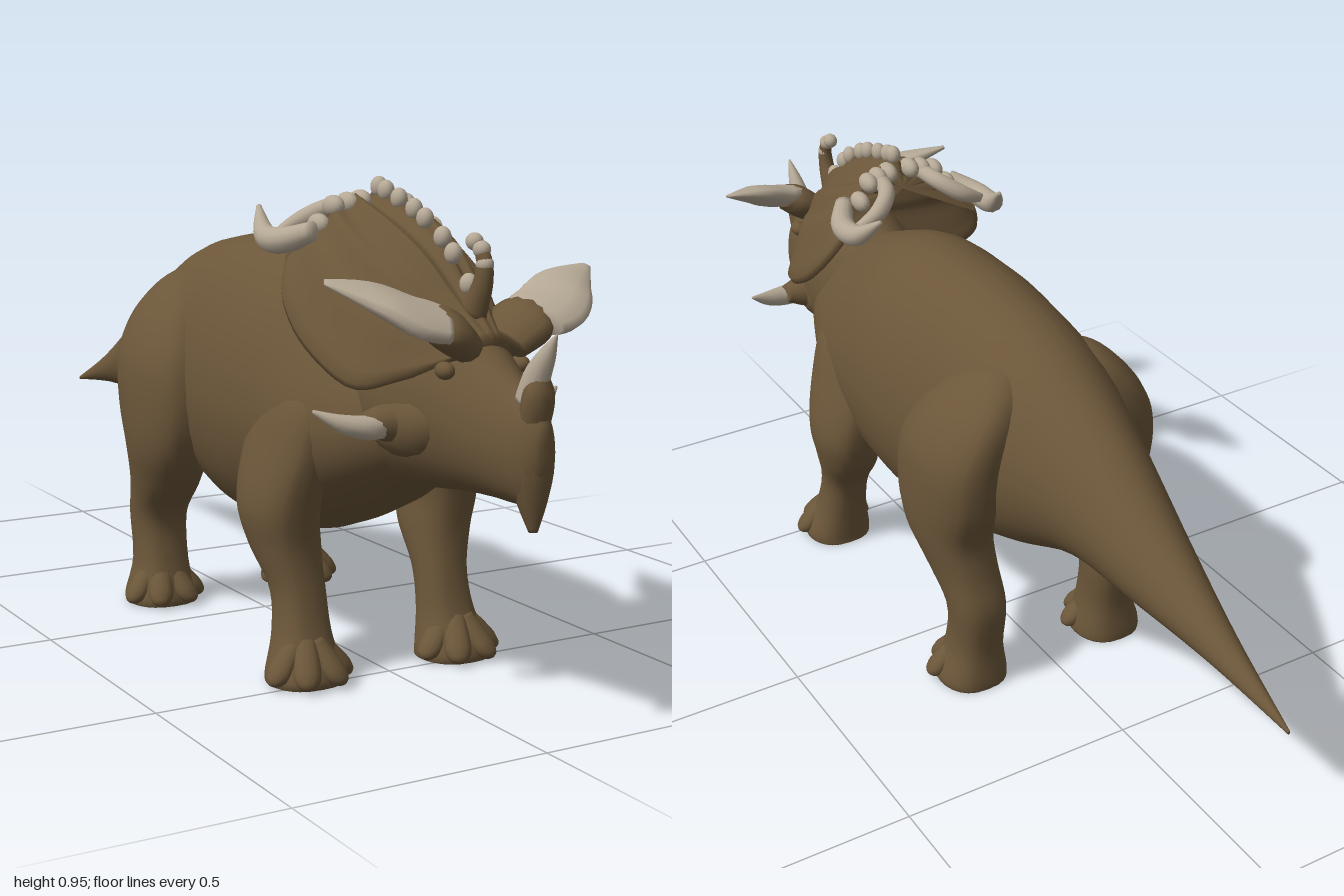
import * as THREE from 'three';

const V = (x, y, z) => new THREE.Vector3(x, y, z);

// Smoothly resample a table of rows to n + 1 rows
function resample(rows, n) {
  const last = rows.length - 1;
  const row = (i) => rows[Math.min(last, Math.max(0, i))];
  return Array.from({ length: n + 1 }, (_, k) => {
    const t = (k / n) * last, i = Math.min(last - 1, Math.floor(t)), f = t - i;
    return rows[0].map((_, c) => {
      const a = row(i - 1)[c], b = row(i)[c], d = row(i + 1)[c], e = row(i + 2)[c];
      return b + 0.5 * f * (d - a + f * (2 * a - 5 * b + 4 * d - e + f * (3 * (b - d) + e - a)));
    });
  });
}

// Skin closed rings of points and cap both ends
function loft(rings) {
  const n = rings[0].length, pos = [], idx = [];
  rings.forEach((r) => r.forEach((p) => pos.push(p.x, p.y, p.z)));
  for (let i = 0; i < rings.length - 1; i++) {
    for (let j = 0; j < n; j++) {
      const a = i * n + j, b = i * n + ((j + 1) % n);
      idx.push(a, b, a + n, b, b + n, a + n);
    }
  }
  [0, rings.length - 1].forEach((i, end) => {
    const c = rings[i].reduce((s, p) => s.add(p), V(0, 0, 0)).divideScalar(n);
    const k = pos.length / 3;
    pos.push(c.x, c.y, c.z);
    for (let j = 0; j < n; j++) {
      const a = i * n + j, b = i * n + ((j + 1) % n);
      if (end) idx.push(a, b, k); else idx.push(b, a, k);
    }
  });
  const g = new THREE.BufferGeometry();
  g.setAttribute('position', new THREE.Float32BufferAttribute(pos, 3));
  g.setIndex(idx);
  g.computeVertexNormals();
  return g;
}

const ring = (n, f) => Array.from({ length: n }, (_, j) => {
  const a = (j / n) * Math.PI * 2;
  return f(Math.cos(a), Math.sin(a));
});

// Trunk or head: rows of [z, bottom, top, half width, narrowing towards the top]
const trunk = (rows, n) => loft(resample(rows, n).map(([z, b, t, w, taper]) =>
  ring(32, (c, s) => V(w * c * (1 - taper * s), (b + t) / 2 + s * (t - b) / 2, z))));

// Leg: rows of [y, x, z, x radius, z radius], with slightly squared sides
const leg = (rows, side) => loft(resample(rows, 44).map(([y, x, z, rx, rz]) =>
  ring(24, (c, s) => V(side * x + Math.sign(s) * Math.abs(s) ** 0.75 * rx, y, z + c * rz))));

// Horn: rows of [x, y, z, radius]; ref is the direction stretched by wide
function horn(rows, ref, wide = 1) {
  const pts = resample(rows, 14);
  return loft(pts.map((p, i) => {
    const a = pts[Math.max(0, i - 1)], b = pts[Math.min(14, i + 1)];
    const T = V(b[0] - a[0], b[1] - a[1], b[2] - a[2]).normalize();
    const N = ref.clone().addScaledVector(T, -ref.dot(T)).normalize();
    const B = T.clone().cross(N);
    return ring(12, (c, s) => V(p[0], p[1], p[2])
      .addScaledVector(N, c * p[3] * wide).addScaledVector(B, s * p[3]));
  }));
}

// Frill: rows of [half width, middle y, middle z, edge y, edge z]
const frillRows = resample([
  [0.06, 0.70, 0.82, 0.67, 0.80], [0.125, 0.77, 0.74, 0.63, 0.72],
  [0.18, 0.84, 0.66, 0.61, 0.64], [0.202, 0.885, 0.57, 0.67, 0.51],
  [0.195, 0.91, 0.49, 0.745, 0.42], [0.165, 0.925, 0.43, 0.81, 0.38],
], 24);
function frillPoint(u, k) {
  const [w, ym, zm, ye, ze] = frillRows[k];
  const rib = 0.011 * Math.cos(u * Math.PI * 8) * (1 - u * u) * Math.min(1, k / 8);
  return V(w * u, ym + (ye - ym) * u * u + rib, zm + (ze - zm) * u * u);
}
function frillGeometry() {
  const n = 40;
  return loft(frillRows.map((_, k) => {
    const top = Array.from({ length: n + 1 }, (_, j) => frillPoint((2 * j) / n - 1, k));
    const under = top.slice().reverse().map((p, j) => {
      const u = (2 * j) / n - 1, d = 0.012 + 0.012 * (1 - u * u);
      return V(p.x * 0.97, p.y - d, p.z - d * 0.7);
    });
    return [...top, ...under];
  }));
}

export function createModel() {
  const model = new THREE.Group();
  const hide = new THREE.MeshStandardMaterial({ name: 'brown hide', color: 0x6b5639 });
  const bone = new THREE.MeshStandardMaterial({ name: 'pale horn', color: 0xb5a895 });
  const add = (name, geometry, material) => {
    const m = new THREE.Mesh(geometry, material);
    m.name = name;
    model.add(m);
    return m;
  };
  const ball = new THREE.SphereGeometry(1, 16, 12);
  const blob = (name, material, p, sx, sy, sz) => {
    const m = add(name, ball, material);
    m.position.set(...p);
    m.scale.set(sx, sy, sz);
  };

  // Body and tail
  add('body', trunk([
    [-1, 0.362, 0.37, 0.003, 0.1], [-0.8, 0.385, 0.457, 0.036, 0.1],
    [-0.6, 0.392, 0.565, 0.076, 0.1], [-0.4, 0.388, 0.69, 0.116, 0.1],
    [-0.2, 0.31, 0.782, 0.172, 0.1], [0, 0.243, 0.82, 0.2, 0.1],
    [0.15, 0.227, 0.822, 0.212, 0.1], [0.3, 0.25, 0.81, 0.212, 0.12],
    [0.45, 0.31, 0.755, 0.19, 0.25], [0.58, 0.385, 0.69, 0.145, 0.25],
    [0.7, 0.45, 0.64, 0.09, 0.1],
  ], 60), hide);

  // Head with deep cheeks and a hooked beak
  add('head', trunk([
    [0.5, 0.46, 0.72, 0.1, 0.05], [0.6, 0.405, 0.75, 0.132, 0.05],
    [0.69, 0.41, 0.745, 0.128, 0.05], [0.77, 0.42, 0.71, 0.1, 0.05],
    [0.85, 0.425, 0.66, 0.076, 0.05], [0.91, 0.425, 0.625, 0.055, 0.05],
    [0.95, 0.43, 0.605, 0.038, 0.05], [0.972, 0.48, 0.575, 0.02, 0.05],
    [0.977, 0.51, 0.55, 0.006, 0.05],
  ], 40), hide);
  add('beak', horn([[0, 0.56, 0.925, 0.036], [0, 0.50, 0.935, 0.04],
    [0, 0.44, 0.94, 0.028], [0, 0.383, 0.946, 0.008]], V(1, 0, 0), 1), hide);
  add('noseHornPad', horn([[0, 0.56, 0.938, 0.025], [0, 0.60, 0.948, 0.027],
    [0, 0.63, 0.953, 0.024], [0, 0.655, 0.958, 0.012]], V(1, 0, 0), 1.1), hide);
  add('noseHorn', horn([[0, 0.605, 0.928, 0.03], [0, 0.65, 0.946, 0.026],
    [0, 0.69, 0.972, 0.017], [0, 0.728, 0.997, 0.002]], V(1, 0, 0), 0.85), bone);

  // Ribbed neck frill
  add('frill', frillGeometry(), hide);

  // Knobs down the middle of the frill, ending in a raised front spike
  for (let i = 0; i < 8; i++) {
    const p = frillPoint(0, 5 + Math.round(i * 2.6));
    blob('crestKnob', bone, [0, p.y + 0.006, p.z + 0.006], 0.015, 0.02, 0.019);
  }
  add('crestSpike', horn([[0, 0.74, 0.76, 0.028], [0, 0.79, 0.785, 0.021],
    [0, 0.83, 0.788, 0.017], [0, 0.86, 0.77, 0.012]], V(1, 0, 0), 0.8), hide);
  for (const [y, z] of [[0.825, 0.79], [0.85, 0.78], [0.862, 0.758]]) {
    blob('spikeKnob', bone, [0, y, z], 0.015, 0.016, 0.018);
  }

  for (const s of [1, -1]) {
    // Knobs along the back rim
    for (let i = 1; i <= 4; i++) {
      const p = frillPoint(s * i * 0.16, 24);
      blob('rimKnob', bone, [p.x, p.y - 0.002, p.z - 0.008], 0.018, 0.021, 0.03);
    }
    // Curved horns at the rear corners and small inner hooks
    add('rearHorn', horn([[s * 0.13, 0.86, 0.43, 0.02], [s * 0.165, 0.84, 0.37, 0.025],
      [s * 0.165, 0.845, 0.30, 0.022], [s * 0.143, 0.895, 0.235, 0.005]], V(0, 1, 0)), bone);
    add('innerHook', horn([[s * 0.05, 0.905, 0.41, 0.017], [s * 0.065, 0.895, 0.355, 0.018],
      [s * 0.105, 0.87, 0.325, 0.018], [s * 0.15, 0.85, 0.325, 0.01]], V(0, 1, 0)), bone);

    // Brow sheath with a broad blade-like horn, eye and cheek
    add('brow', horn([[s * 0.04, 0.685, 0.79, 0.03], [s * 0.07, 0.71, 0.79, 0.036],
      [s * 0.095, 0.727, 0.79, 0.034], [s * 0.115, 0.735, 0.79, 0.024]],
    V(0, -0.3, 1), 1.9), hide);
    add('browHorn', horn([[s * 0.09, 0.728, 0.81, 0.022], [s * 0.14, 0.742, 0.79, 0.026],
      [s * 0.2, 0.775, 0.75, 0.02], [s * 0.278, 0.802, 0.715, 0.004]], V(0, -0.4, 1), 2.8), bone);
    blob('eye', hide, [s * 0.08, 0.645, 0.79], 0.016, 0.016, 0.022);
    blob('cheek', hide, [s * 0.082, 0.54, 0.67], 0.055, 0.07, 0.11);
    add('cheekSheath', horn([[s * 0.08, 0.545, 0.675, 0.06], [s * 0.12, 0.54, 0.68, 0.038],
      [s * 0.15, 0.542, 0.68, 0.028], [s * 0.175, 0.544, 0.677, 0.018]], V(0, 0, 1), 1.2), hide);
    add('cheekHorn', horn([[s * 0.14, 0.537, 0.688, 0.023], [s * 0.175, 0.536, 0.688, 0.022],
      [s * 0.22, 0.546, 0.675, 0.016], [s * 0.265, 0.568, 0.655, 0.003]], V(0, 0, 1), 1.1), bone);

    // Legs, their tops sinking into the flanks
    add('frontLeg', leg([
      [0.008, 0.17, 0.465, 0.074, 0.07], [0.03, 0.17, 0.465, 0.074, 0.07],
      [0.1, 0.165, 0.445, 0.056, 0.056], [0.18, 0.163, 0.425, 0.052, 0.055],
      [0.26, 0.172, 0.39, 0.064, 0.08], [0.34, 0.18, 0.38, 0.069, 0.1],
      [0.45, 0.16, 0.385, 0.065, 0.12], [0.55, 0.13, 0.40, 0.06, 0.11],
      [0.63, 0.09, 0.41, 0.03, 0.05],
    ], s), hide);
    add('hindLeg', leg([
      [0.008, 0.17, -0.17, 0.074, 0.075], [0.03, 0.17, -0.17, 0.074, 0.075],
      [0.1, 0.165, -0.178, 0.058, 0.062], [0.2, 0.165, -0.187, 0.06, 0.063],
      [0.28, 0.172, -0.14, 0.067, 0.09], [0.36, 0.182, -0.105, 0.077, 0.115],
      [0.45, 0.182, -0.107, 0.083, 0.143], [0.55, 0.177, -0.12, 0.083, 0.145],
      [0.63, 0.152, -0.14, 0.073, 0.125], [0.69, 0.115, -0.155, 0.06, 0.09],
      [0.725, 0.09, -0.165, 0.04, 0.045], [0.735, 0.08, -0.165, 0.01, 0.01],
    ], s), hide);

    // Toes sloping down and fanning out around the front of each foot
    for (const [name, z] of [['frontToe', 0.468], ['hindToe', -0.165]]) {
      for (const a of [-1.3, -0.45, 0.45, 1.3]) {
        const rows = [[0.025, 0.09, 0.02], [0.05, 0.06, 0.025], [0.072, 0.034, 0.026],
          [0.087, 0.022, 0.016], [0.092, 0.018, 0.003]];
        add(name, horn(rows.map(([d, y, r]) =>
          [s * 0.17 + d * Math.sin(a), y, z + d * Math.cos(a), r]), V(0, 1, 0), 0.75), hide);
      }
    }
  }
  return model;
}
